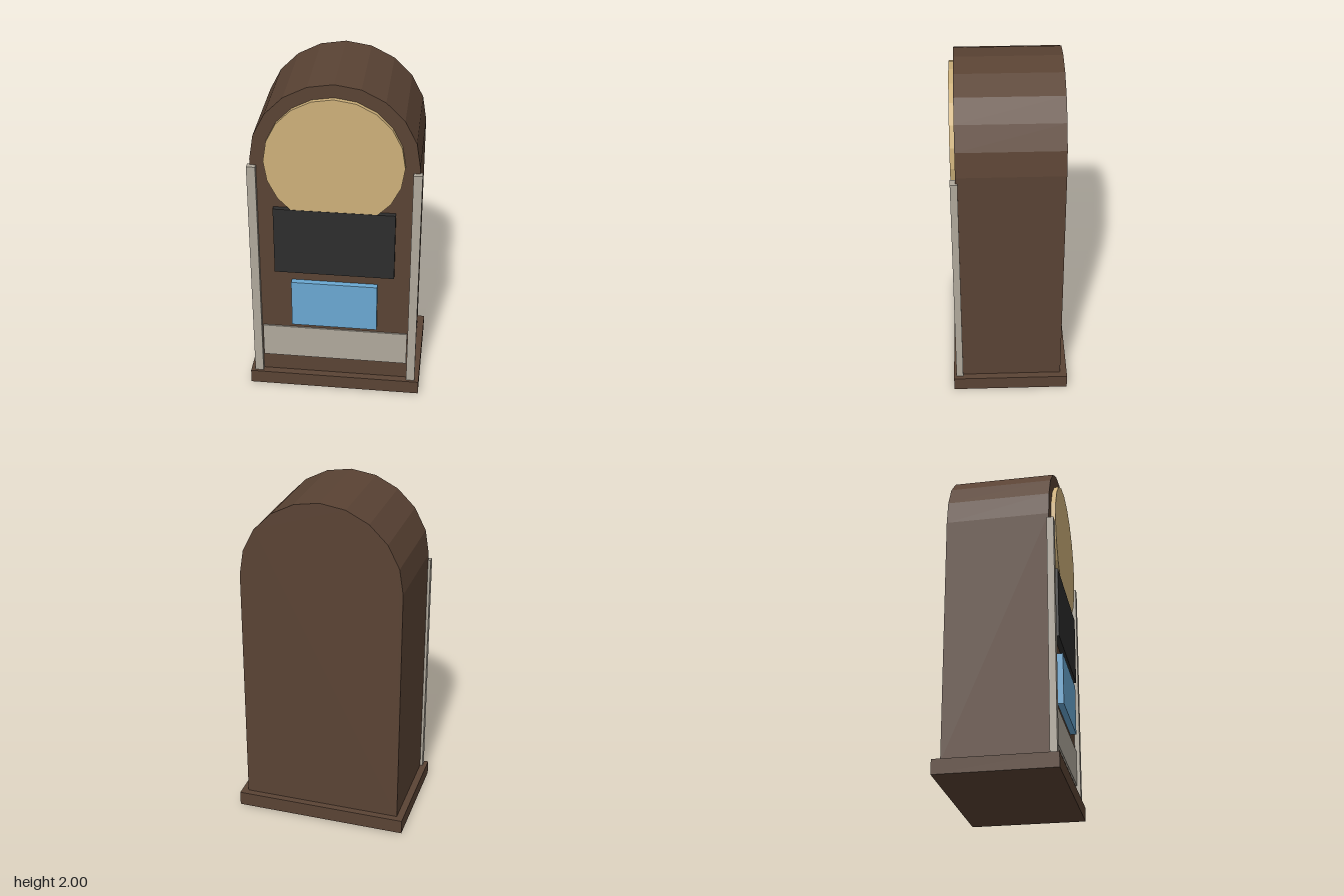
import * as THREE from 'three';

const material = (name, color) => {
  const m = new THREE.MeshStandardMaterial({ color });
  m.name = name;
  return m;
};

export function createModel() {
  const group = new THREE.Group();
  const wood = material('brown wood', 0x5a4334);
  const gold = material('pale gold', 0xcdb07a);
  const black = material('black', 0x2d2d2d);
  const blue = material('sky blue', 0x6aa8d2);
  const metal = material('warm grey', 0xb0a99c);

  const add = (name, geometry, mat) => {
    const mesh = new THREE.Mesh(geometry, mat);
    mesh.name = name;
    group.add(mesh);
    return mesh;
  };
  // Box given by its limits on each axis
  const box = (name, mat, [x0, x1], [y0, y1], [z0, z1]) =>
    add(name, new THREE.BoxGeometry(x1 - x0, y1 - y0, z1 - z0), mat)
      .position.set((x0 + x1) / 2, (y0 + y1) / 2, (z0 + z1) / 2);

  // Plinth
  box('base', wood, [-0.51, 0.51], [0, 0.085], [-0.34, 0.34]);

  // Cabinet with a ten-sided arched top
  const R = 0.47, archY = 1.53;
  const outline = [new THREE.Vector2(-R, 0.08), new THREE.Vector2(R, 0.08)];
  for (let i = 0; i <= 10; i++) {
    const a = (i / 10) * Math.PI;
    outline.push(new THREE.Vector2(R * Math.cos(a), archY + R * Math.sin(a)));
  }
  const cabinet = new THREE.ExtrudeGeometry(new THREE.Shape(outline), { depth: 0.596, bevelEnabled: false });
  cabinet.translate(0, 0, -0.3);
  add('cabinet', cabinet, wood);

  // Round disc in the arch
  const disc = new THREE.CylinderGeometry(0.39, 0.39, 0.04, 20).toNonIndexed();
  disc.computeVertexNormals();
  disc.rotateX(Math.PI / 2);
  add('disc', disc, gold).position.set(0, 1.535, 0.303);

  // Front panels
  box('screen', black, [-0.345, 0.345], [0.815, 1.235], [0.285, 0.325]);
  box('display', blue, [-0.25, 0.25], [0.45, 0.75], [0.285, 0.331]);
  box('grille', metal, [-0.43, 0.43], [0.195, 0.41], [0.28, 0.305]);

  // Corner posts
  for (const [name, x] of [['rightPost', -0.46], ['leftPost', 0.46]]) {
    box(name, metal, [x - 0.025, x + 0.025], [0.085, 1.495], [0.285, 0.325]);
  }
  return group;
}
